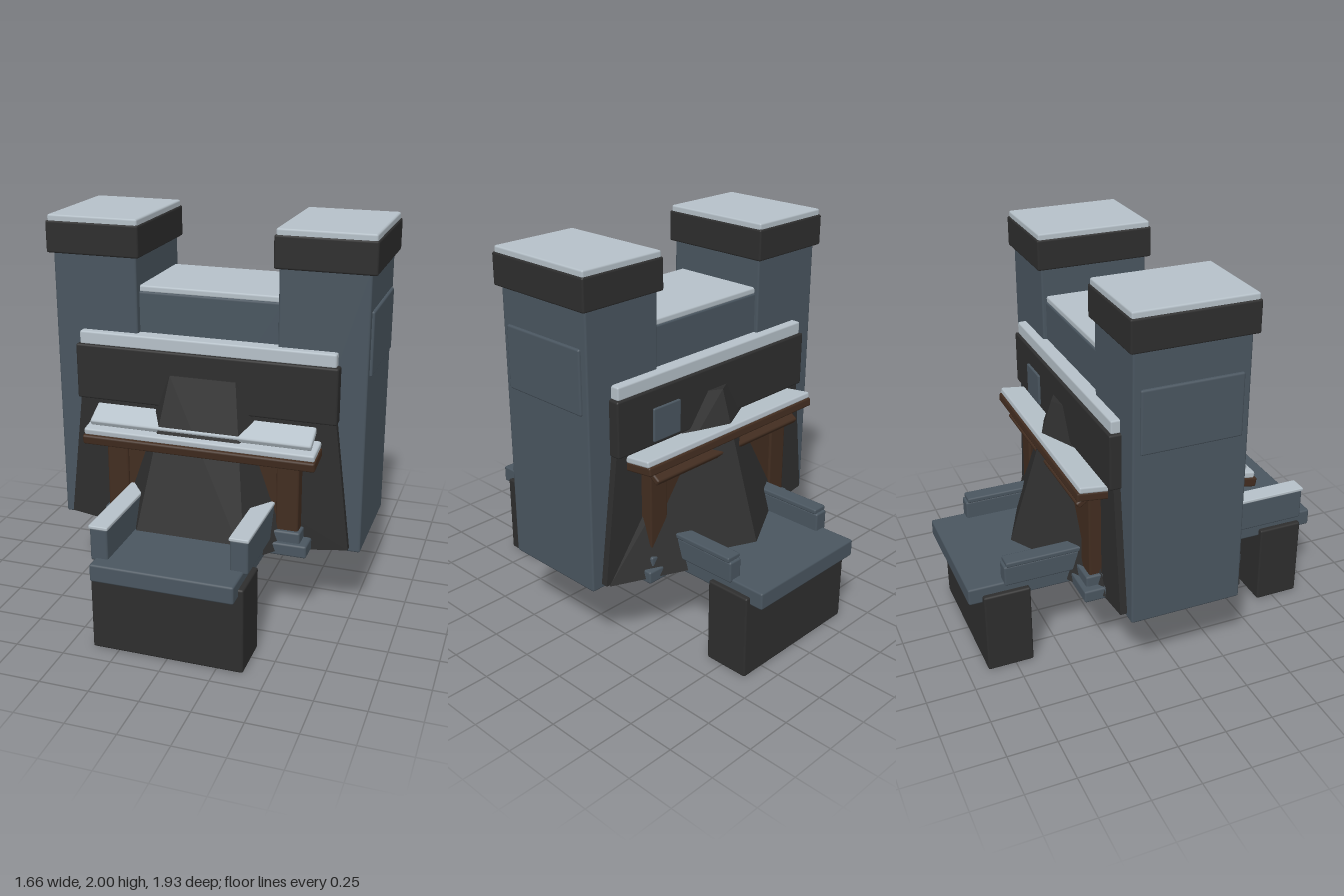
import * as THREE from 'three';
import { RoundedBoxGeometry } from 'three/addons/geometries/RoundedBoxGeometry.js';
import { ConvexGeometry } from 'three/addons/geometries/ConvexGeometry.js';

function makeMaterial(name, color) {
  const m = new THREE.MeshStandardMaterial({ color });
  m.name = name;
  return m;
}

export function createModel() {
  const model = new THREE.Group();
  model.name = 'gatehouse';
  const slate = makeMaterial('slate stone', 0x4a5660);
  const dark = makeMaterial('dark stone', 0x2e2e2e);
  const snow = makeMaterial('pale snow', 0xb6c1c9);
  const wood = makeMaterial('brown wood', 0x422d20);

  function add(name, geometry, material) {
    const mesh = new THREE.Mesh(geometry, material);
    mesh.name = name;
    model.add(mesh);
    return mesh;
  }

  // Chamfered block from its extents
  function block(name, material, [x0, x1], [y0, y1], [z0, z1], tilt = 0) {
    const w = x1 - x0, h = y1 - y0, d = z1 - z0;
    const bevel = Math.min(0.01, Math.min(w, h, d) * 0.3);
    const mesh = add(name, new RoundedBoxGeometry(w, h, d, 1, bevel), material);
    mesh.position.set((x0 + x1) / 2, (y0 + y1) / 2, (z0 + z1) / 2);
    mesh.rotation.x = tilt;
    return mesh;
  }

  // Extent mirrored to the given side of an axis
  const side = (s, a, b) => (s > 0 ? [a, b] : [-b, -a]);
  const hull = (name, material, points) =>
    add(name, new ConvexGeometry(points.map((p) => new THREE.Vector3(...p))), material);

  // Twin towers with caps and side panels
  for (const s of [1, -1]) {
    block('tower', slate, side(s, 0.36, 0.8), [0.4, 1.83], [-0.29, 0.29]);
    block('towerCap', dark, side(s, 0.338, 0.828), [1.81, 1.97], [-0.313, 0.313]);
    block('towerSnow', snow, side(s, 0.345, 0.82), [1.96, 2.0], [-0.305, 0.305]);
    block('towerPanel', slate, side(s, 0.75, 0.813), [1.31, 1.63], [-0.255, 0.255]);
  }

  // Wall joining the towers
  block('middleWall', slate, [-0.38, 0.38], [0.4, 1.635], [-0.27, 0.255]);
  block('middleWallSnow', snow, [-0.37, 0.37], [1.63, 1.665], [-0.265, 0.245]);

  // Flared lower wall, showing on both faces
  const flare = new THREE.Shape();
  flare.moveTo(-0.66, 1.12);
  flare.lineTo(-0.745, 0.425);
  flare.lineTo(-0.42, 0.38);
  flare.lineTo(0.42, 0.38);
  flare.lineTo(0.745, 0.425);
  flare.lineTo(0.66, 1.12);
  flare.closePath();
  const flareGeometry = new THREE.ExtrudeGeometry(flare, { depth: 0.65, bevelEnabled: false });
  flareGeometry.translate(0, 0, -0.325);
  add('flaredWall', flareGeometry, dark);

  // Parapet band above the gates
  block('parapet', dark, [-0.675, 0.672], [1.08, 1.365], [-0.348, 0.348]);
  block('parapetSnow', snow, [-0.66, 0.657], [1.36, 1.43], [-0.335, 0.33]);
  block('backPlate', slate, [0.27, 0.45], [1.1, 1.27], [-0.36, -0.34]);

  // Tapering front buttress and ridged back buttress
  hull('frontButtress', dark, [
    [-0.17, 1.25, 0.355], [0.17, 1.25, 0.355], [-0.2, 1.25, 0.28], [0.2, 1.25, 0.28],
    [-0.29, 0.42, 0.585], [0.29, 0.42, 0.585], [-0.52, 0.42, 0.28], [0.52, 0.42, 0.28],
  ]);
  hull('backButtress', dark, [
    [0, 1.25, -0.385], [-0.1, 1.25, -0.33], [0.1, 1.25, -0.33],
    [0, 0.42, -0.655], [-0.58, 0.42, -0.33], [0.73, 0.42, -0.33],
  ]);

  // Timber lintels with snow
  block('frontLintel', wood, [-0.6, 0.6], [0.895, 0.945], [0.28, 0.475], 0.17);
  block('frontLintelSnow', snow, [-0.595, 0.595], [0.942, 0.978], [0.28, 0.465], 0.17);
  block('frontSnowSlope', snow, [-0.575, 0.57], [0.995, 1.03], [0.30, 0.435], 0.5);
  block('backLintel', wood, [-0.6, 0.6], [1.0, 1.045], [-0.48, -0.3], 0.12);
  block('backLintelSnow', snow, [-0.6, 0.6], [1.04, 1.075], [-0.468, -0.3], 0.12);
  block('backLintelBoard', wood, [-0.52, 0.52], [0.955, 0.99], [-0.46, -0.33], -0.6);

  // Timber posts on stepped footings, both faces
  for (const x of [1, -1]) {
    for (const z of [1, -1]) {
      block('gatePost', wood, side(x, 0.39, 0.505), [0.5, z > 0 ? 0.92 : 1.0], side(z, 0.28, 0.388));
      block('gatePanel', wood, side(x, 0.2, 0.4), [0.5, z > 0 ? 0.92 : 1.0], side(z, 0.28, 0.375));
      block('footing', slate, side(x, 0.34, 0.56), [0.4, 0.465], side(z, 0.28, 0.435));
      block('footingTop', slate, side(x, 0.34, 0.52), [0.455, 0.52], side(z, 0.28, 0.41));
    }
  }

  // Bridges and piers
  for (const z of [1, -1]) {
    block('bridge', slate, [-0.357, 0.357], [0.4, 0.49], side(z, 0.25, 0.967));
    block('pier', dark, [-0.385, 0.383], [0, 0.442], side(z, 0.655, 0.897));
  }

  // Bridge side walls
  block('frontRail', slate, [-0.38, -0.29], [0.475, 0.645], [0.28, 0.895]);
  block('frontRailSnow', snow, [-0.384, -0.286], [0.64, 0.658], [0.28, 0.9]);
  block('frontRail', slate, [0.288, 0.378], [0.475, 0.645], [0.28, 0.81]);
  block('frontRailSnow', snow, [0.284, 0.382], [0.64, 0.658], [0.28, 0.815]);
  for (const x of [1, -1]) {
    block('backRail', slate, side(x, 0.295, 0.372), [0.475, 0.585], [-0.783, -0.28]);
    block('backRailCap', slate, side(x, 0.292, 0.375), [0.58, 0.608], [-0.772, -0.28]);
  }

  return model;
}
